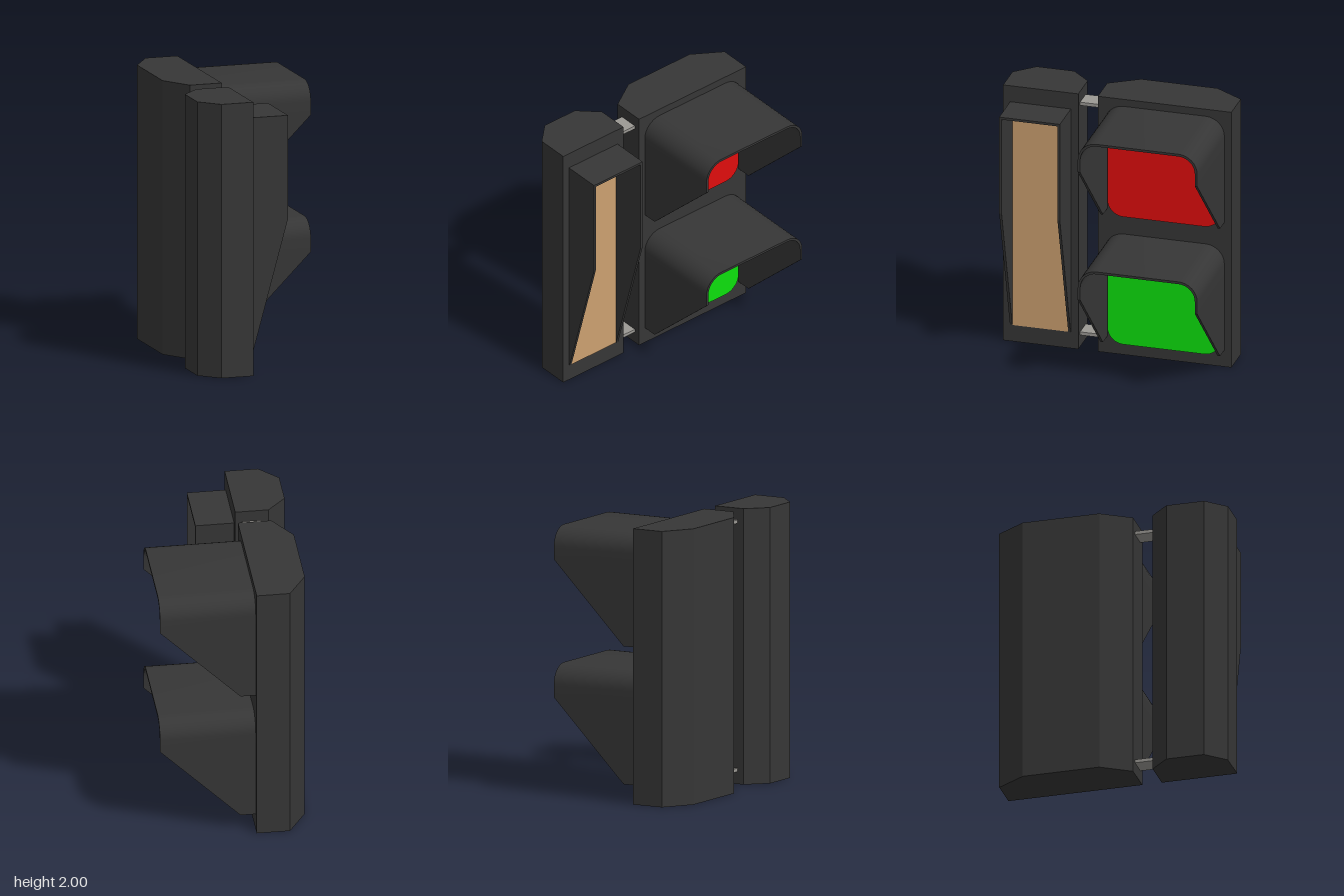
import * as THREE from 'three';
import { toCreasedNormals } from 'three/addons/utils/BufferGeometryUtils.js';

const material = (color) => new THREE.MeshStandardMaterial({ color });
const dark = material(0x363636);
const red = material(0xe00d0d);
const green = material(0x0de00d);
const tan = material(0xcca070);
const metal = material(0x9b9994);

const FACE = -0.16; // x of the housings' flat face

function add(group, name, geometry, mat) {
  const mesh = new THREE.Mesh(geometry, mat);
  mesh.name = name;
  group.add(mesh);
  return mesh;
}

function box(group, name, mat, [x0, x1], [y0, y1], [z0, z1]) {
  const mesh = add(group, name, new THREE.BoxGeometry(x1 - x0, y1 - y0, z1 - z0), mat);
  mesh.position.set((x0 + x1) / 2, (y0 + y1) / 2, (z0 + z1) / 2);
  return mesh;
}

const polygon = (points) => new THREE.Shape(points.map(([x, y]) => new THREE.Vector2(x, y)));

// Upright housing with two chamfered rear corners
function housing(group, name, z0, z1, chamfer) {
  const shape = polygon([
    [FACE, -z1], [FACE, -z0], [-0.4, -z0], [-0.535, -z0 - chamfer],
    [-0.535, -z1 + chamfer], [-0.4, -z1],
  ]);
  const geometry = new THREE.ExtrudeGeometry(shape, { depth: 2, bevelEnabled: false });
  add(group, name, geometry.rotateX(-Math.PI / 2), dark);
}

// Rounded square lens, a thin slab on the housing face
function lens(group, name, mat, y, z) {
  const h = 0.42, r = 0.12, s = new THREE.Shape();
  s.moveTo(h, r - h);
  s.absarc(h - r, h - r, r, 0, Math.PI / 2);
  s.absarc(r - h, h - r, r, Math.PI / 2, Math.PI);
  s.absarc(r - h, r - h, r, Math.PI, Math.PI * 1.5);
  s.absarc(h - r, r - h, r, Math.PI * 1.5, Math.PI * 2);
  const geometry = new THREE.ExtrudeGeometry(s, { depth: 0.012, bevelEnabled: false, curveSegments: 8 });
  add(group, name, geometry.rotateY(Math.PI / 2), mat).position.set(FACE, y, z);
}

// Arched visor: a U-shaped wall whose front edge is cut back below the knee
function visorGeometry() {
  const top = 0.945, knee = 0.71, bottom = 0.13, half = 0.445, r = 0.14, t = 0.018;
  const stations = [];
  const station = (zo, yo, zi, yi) => {
    const front = (y) => Math.min(0.53, 0.53 - (knee - y));
    stations.push([[FACE, yo, zo], [front(yo), yo, zo], [front(yi), yi, zi], [FACE, yi, zi]]);
  };
  for (const y of [bottom, knee]) station(half, y, half - t, y);
  for (const [side, start] of [[1, 0], [-1, Math.PI / 2]]) {
    for (let i = 0; i <= 8; i++) {
      const a = start + (i / 8) * Math.PI / 2, c = Math.cos(a), s = Math.sin(a);
      const cz = side * (half - r), cy = top - r;
      station(cz + r * c, cy + r * s, cz + (r - t) * c, cy + (r - t) * s);
    }
  }
  for (const y of [knee, bottom]) station(-half, y, t - half, y);

  const positions = [];
  const quad = (a, b, c, d) => positions.push(...a, ...b, ...c, ...a, ...c, ...d);
  for (let i = 0; i < stations.length - 1; i++) {
    const p = stations[i], q = stations[i + 1];
    for (let j = 0; j < 4; j++) {
      const k = (j + 1) % 4;
      quad(p[j], p[k], q[k], q[j]);
    }
  }
  const [a, b, c, d] = stations[0];
  quad(a, d, c, b);
  quad(...stations[stations.length - 1]);
  const geometry = new THREE.BufferGeometry();
  geometry.setAttribute('position', new THREE.Float32BufferAttribute(positions, 3));
  return toCreasedNormals(geometry, 0.5);
}

export function createModel() {
  const model = new THREE.Group();
  model.name = 'signalLight';

  // Main signal unit
  const signal = new THREE.Group();
  signal.name = 'signalUnit';
  model.add(signal);
  housing(signal, 'signalHousing', -0.85, 0.145, 0.213);
  const visor = visorGeometry();
  for (const [name, y, mat] of [['upper', 1, red], ['lower', 0, green]]) {
    lens(signal, name + 'Lens', mat, y + 0.505, -0.35);
    add(signal, name + 'Visor', visor, dark).position.set(0, y, -0.353);
  }

  // Narrow side unit with an open, sloping hood
  const side = new THREE.Group();
  side.name = 'sideUnit';
  model.add(side);
  housing(side, 'sideHousing', 0.29, 0.85, 0.14);
  box(side, 'sidePanel', tan, [FACE, -0.153], [0.13, 1.857], [0.365, 0.78]);
  const wall = new THREE.ExtrudeGeometry(
    polygon([[FACE, 0.13], [-0.153, 0.13], [0.12, 1.12], [0.12, 1.875], [FACE, 1.875]]),
    { depth: 0.018, bevelEnabled: false });
  for (const [name, z] of [['hoodLeftWall', 0.779], ['hoodRightWall', 0.345]]) {
    add(side, name, wall, dark).position.z = z;
  }
  box(side, 'hoodTop', dark, [FACE, 0.12], [1.857, 1.875], [0.363, 0.779]);

  // Flat brackets joining the two units
  for (const [name, y] of [['upperBracket', 1.89], ['lowerBracket', 0.09]]) {
    box(model, name, metal, [-0.35, -0.207], [y, y + 0.025], [0.14, 0.295]);
  }
  return model;
}
